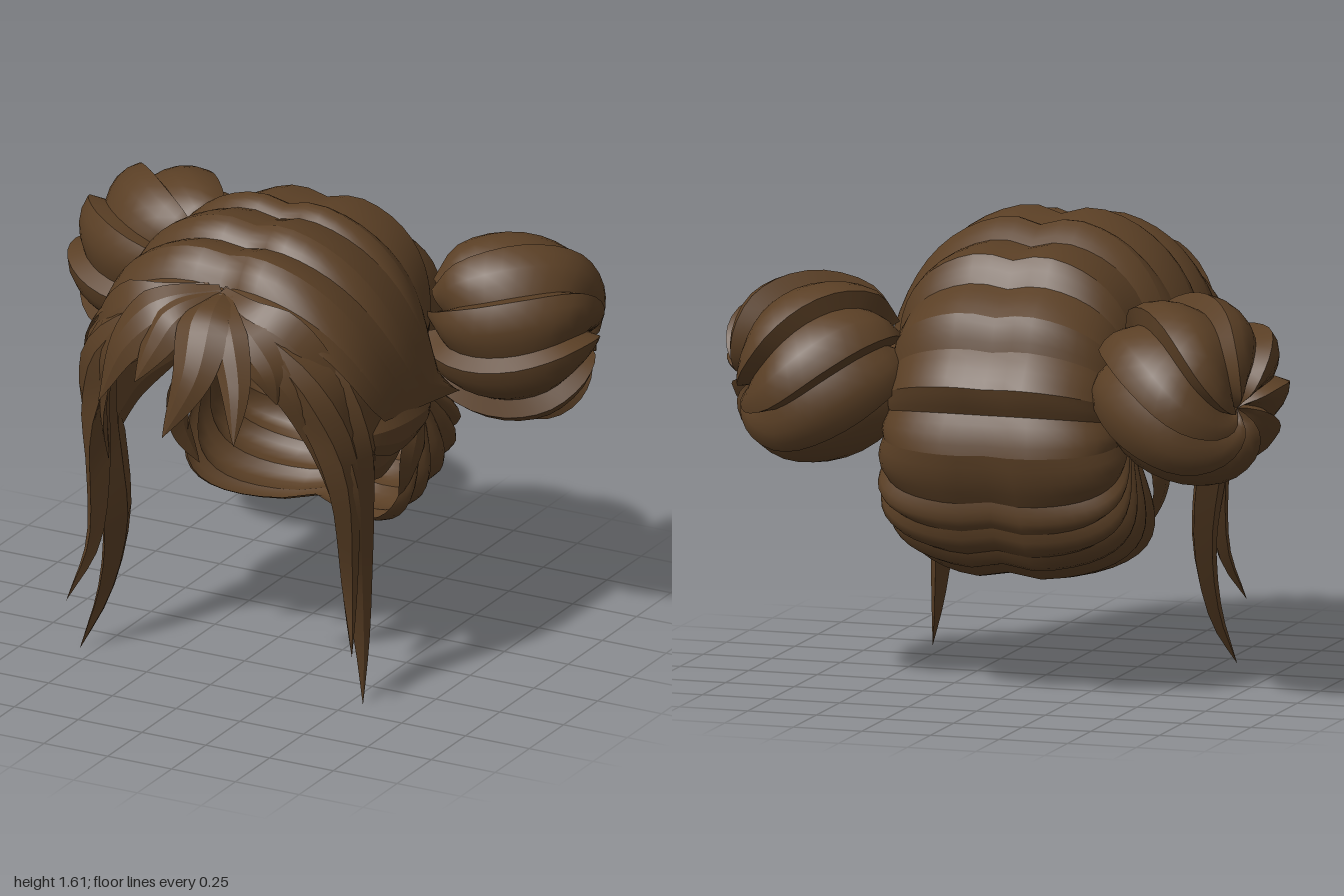
import * as THREE from 'three';
import { mergeGeometries } from 'three/addons/utils/BufferGeometryUtils.js';

const V = (x, y, z) => new THREE.Vector3(x, y, z);
const { lerp, smoothstep } = THREE.MathUtils;

// Smooth sheet through rows of points; separate sheets meet in a crease
function sheet(rows) {
  const n = rows[0].length, index = [];
  for (let i = 0; i < rows.length - 1; i++) {
    for (let j = 0; j < n - 1; j++) {
      const a = i * n + j, b = a + n;
      index.push(a, b, a + 1, a + 1, b, b + 1);
    }
  }
  const g = new THREE.BufferGeometry().setFromPoints(rows.flat());
  g.setIndex(index);
  g.computeVertexNormals();
  return g;
}

// Swept-back cap: bands run from one bun, over the head, to the other bun
const POLE_Y = 0.94, POLE_Z = -0.25;
const PROFILE = [ // z, y along the middle of the head, hairline to nape
  [0.53, 1.43], [0.46, 1.475], [0.38, 1.57], [0.26, 1.555], [0.18, 1.615], [0.01, 1.58], [-0.06, 1.615], [-0.16, 1.55],
  [-0.36, 1.535], [-0.42, 1.44], [-0.56, 1.36], [-0.6, 1.24], [-0.69, 1.12], [-0.65, 1.02], [-0.69, 0.88],
  [-0.62, 0.7], [-0.59, 0.6], [-0.53, 0.51], [-0.46, 0.45], [-0.37, 0.41], [-0.27, 0.42],
];

function capRow(z, y, u, scallop) {
  const row = [];
  const back = smoothstep(u, 4, 9), low = smoothstep(u, 12, 16), nape = smoothstep(u, 16, 20);
  const halfWidth = lerp(0.575, 0.4, back), power = lerp(2.3, 3, low);
  const sweep = lerp(lerp(0.2, 0.36, smoothstep(u, 0, 3)), 1, back);
  for (let k = -14; k <= 14; k++) {
    const a = (k / 14) * Math.PI / 2, belly = Math.sin(2 * Math.abs(a));
    const side = (0.07 * back + 0.03 * low * scallop) * belly;
    const x = Math.sign(a) * (halfWidth * Math.abs(Math.sin(a)) ** (2 / power) + side);
    const r = Math.max(0, Math.cos(a)) ** (2 / power);
    const parting = 1.015 - 0.05 * Math.exp(-((x / 0.07) ** 2));
    row.push(V(x,
      POLE_Y + (y - POLE_Y) * r * parting,
      POLE_Z + (z - POLE_Z) * r ** sweep * parting + 0.17 * nape * belly));
  }
  return row;
}

function capGeometry() {
  const bands = [];
  for (let i = 0; i < PROFILE.length - 1; i++) {
    const [z0, y0] = PROFILE[i], [z1, y1] = PROFILE[i + 1], rows = [];
    for (let j = 0; j <= 4; j++) {
      const t = j / 4, scallop = Math.sin(Math.PI * t);
      const bulge = 1 + scallop * lerp(0.012, 0.035, smoothstep(i, 12, 15));
      rows.push(capRow(
        POLE_Z + (lerp(z0, z1, t) - POLE_Z) * bulge,
        POLE_Y + (lerp(y0, y1, t) - POLE_Y) * bulge, i + t, scallop));
    }
    bands.push(sheet(rows));
  }
  return mergeGeometries(bands);
}

// Tapered lock with a ridged section: facing out on the head, sideways where it hangs
const SECTION = [[-1, 0], [-0.3, 0.9], [0.4, 0.8], [1, 0], [0, -0.8], [-1, 0]];

function lockGeometry(points, width, thick = 0.03) {
  const curve = new THREE.CatmullRomCurve3(points.map(p => V(...p)));
  const rings = [], steps = 20;
  for (let i = 0; i <= steps; i++) {
    const t = i / steps, p = curve.getPoint(t), tangent = curve.getTangent(t);
    const out = V(p.x, Math.max(0, p.y - 1) * 0.5, p.z * smoothstep(p.y, 0.7, 1.2)).normalize();
    const side = V(0, 0, 0).crossVectors(tangent, out).normalize();
    out.crossVectors(side, tangent);
    const size = t < 0.4 ? lerp(0.35, 1, t / 0.4) : 1 - ((t - 0.4) / 0.6) ** 1.8;
    rings.push(SECTION.map(([a, b]) => p.clone()
      .addScaledVector(side, a * width * size)
      .addScaledVector(out, b * thick * size)));
  }
  const faces = [];
  for (let j = 0; j < SECTION.length - 1; j++) faces.push(sheet(rings.map(r => [r[j], r[j + 1]])));
  return mergeGeometries(faces);
}

// Bun: overlapping lobes spiralling about an axis, local +y pointing outwards
function bunGeometry() {
  const outline = new THREE.CatmullRomCurve3([
    V(0.1, -0.31, 0), V(0.22, -0.26, 0), V(0.3, -0.12, 0), V(0.315, 0.04, 0),
    V(0.275, 0.17, 0), V(0.18, 0.25, 0), V(0.08, 0.26, 0), V(0, 0.2, 0),
  ]).getPoints(20);
  const lobes = 8, low = 0.88, high = 1.05, parts = [];
  const column = (angle, swell) => outline.map((p, i) => {
    const a = angle + 1.5 * (i / 20) ** 1.5, r = p.x * swell;
    return V(r * Math.cos(a), p.y * swell, r * Math.sin(a));
  });
  for (let k = 0; k < lobes; k++) {
    const a0 = (k / lobes) * Math.PI * 2, da = (Math.PI * 2) / lobes, rows = [];
    for (let j = 0; j <= 4; j++) {
      rows.push(column(a0 + da * 0.85 * j / 4, lerp(low, high, Math.sin(j / 4 * Math.PI / 2))));
    }
    parts.push(sheet(rows));
    parts.push(sheet([column(a0 + da * 0.85, high), column(a0 + da, low)]));
  }
  return mergeGeometries(parts);
}

export function createModel() {
  const model = new THREE.Group();
  model.name = 'hair';
  const brown = new THREE.MeshStandardMaterial({ color: 0x5a3f25, side: THREE.DoubleSide });
  brown.name = 'brown hair';
  const add = (name, geometry, parent = model) => {
    const mesh = new THREE.Mesh(geometry, brown);
    mesh.name = name;
    parent.add(mesh);
  };

  add('sweptCap', capGeometry());

  // Fringe locks spreading from the parting
  const root = [0.03, 1.45, 0.47];
  const fringe = [
    [[[0.05, 1.42, 0.62], [0.06, 1.25, 0.74], [-0.04, 1.01, 0.78]], 0.1],
    [[[0.13, 1.39, 0.62], [0.21, 1.22, 0.71], [0.24, 1.03, 0.78]], 0.07],
    [[[0.18, 1.37, 0.59], [0.29, 1.26, 0.62], [0.32, 1.14, 0.61]], 0.08],
    [[[-0.12, 1.41, 0.6], [-0.25, 1.28, 0.65], [-0.36, 1.04, 0.65]], 0.1],
    [[[-0.07, 1.4, 0.62], [-0.12, 1.3, 0.68], [-0.18, 1.17, 0.72]], 0.08],
  ];
  fringe.forEach(([path, width], i) => add('fringeLock' + (i + 1), lockGeometry([root, ...path], width)));

  // Locks framing the face, and strands tucked back towards the buns: path, width, thickness
  const sideLocks = {
    longLock: [[[0.02, 1.43, 0.47], [0.25, 1.37, 0.48], [0.44, 1.2, 0.43], [0.49, 0.95, 0.39], [0.48, 0.7, 0.34],
      [0.47, 0.45, 0.3], [0.5, 0.2, 0.33], [0.555, 0, 0.42]], 0.14, 0.07],
    shortLock: [[[0.02, 1.43, 0.48], [0.2, 1.37, 0.55], [0.39, 1.22, 0.53], [0.47, 1, 0.46], [0.48, 0.7, 0.41],
      [0.5, 0.4, 0.42], [0.56, 0.21, 0.51]], 0.1, 0.065],
    innerLock: [[[0.02, 1.44, 0.5], [0.2, 1.35, 0.59], [0.36, 1.2, 0.57], [0.42, 1, 0.5], [0.44, 0.72, 0.42]], 0.08],
    templeLock: [[[0.02, 1.44, 0.48], [0.16, 1.39, 0.56], [0.33, 1.3, 0.55], [0.46, 1.08, 0.46], [0.48, 0.8, 0.36]], 0.13],
    earStrand: [[[0.5, 0.97, 0.42], [0.55, 0.95, 0.25], [0.545, 0.93, 0], [0.46, 0.89, -0.26]], 0.09, 0.04],
    lowerEarStrand: [[[0.46, 0.82, 0.36], [0.5, 0.85, 0.25], [0.51, 0.89, 0.08], [0.45, 0.92, -0.2]], 0.1],
    napeTuft: [[[0.42, 0.93, -0.26], [0.46, 0.79, -0.14], [0.45, 0.68, -0.11], [0.39, 0.52, -0.15]], 0.09],
  };
  const axis = V(0.89, -0.19, -0.41).normalize();
  const bun = bunGeometry();
  bun.applyQuaternion(new THREE.Quaternion().setFromUnitVectors(V(0, 1, 0), axis));
  bun.translate(0.695, 1.12, -0.465);

  for (const side of [1, -1]) {
    const half = new THREE.Group();
    half.name = side > 0 ? 'leftSide' : 'rightSide';
    half.scale.x = side;
    for (const [name, [path, width, thick]] of Object.entries(sideLocks)) {
      add(name, lockGeometry(path, width, thick), half);
    }
    add('bun', bun, half);
    model.add(half);
  }
  return model;
}
